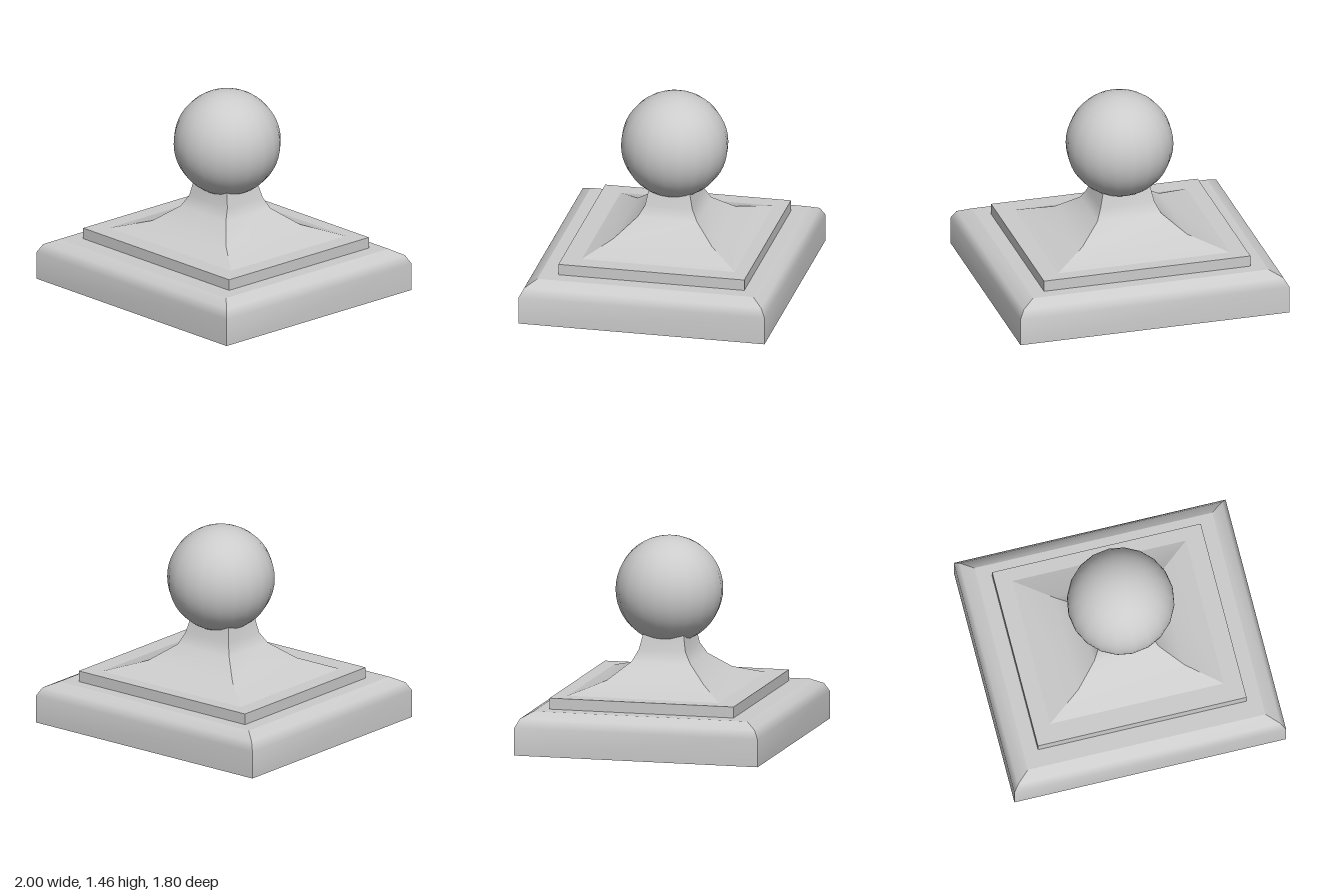
import * as THREE from 'three';

// Rectangular loft. Each section is [y, xMin, xMax, zMin, zMax]; sides are smooth
// along their height and sharp at the four corners, with flat caps at both ends.
function rectLoft(sections) {
  const positions = [], index = [];
  const corners = ([y, x0, x1, z0, z1]) => [[x0, y, z1], [x1, y, z1], [x1, y, z0], [x0, y, z0]];
  const rings = sections.map(corners);
  for (let side = 0; side < 4; side++) {
    const start = positions.length / 3;
    for (const ring of rings) positions.push(...ring[side], ...ring[(side + 1) % 4]);
    for (let i = 0; i < rings.length - 1; i++) {
      const a = start + i * 2;
      index.push(a, a + 1, a + 3, a, a + 3, a + 2);
    }
  }
  for (const ring of [rings[rings.length - 1], [...rings[0]].reverse()]) {
    const c = positions.length / 3;
    positions.push(...ring.flat());
    index.push(c, c + 1, c + 2, c, c + 2, c + 3);
  }
  const geometry = new THREE.BufferGeometry();
  geometry.setAttribute('position', new THREE.Float32BufferAttribute(positions, 3));
  geometry.setIndex(index);
  geometry.computeVertexNormals();
  return geometry;
}

export function createModel() {
  const group = new THREE.Group();
  const material = new THREE.MeshStandardMaterial({ color: 0xcccccc });
  const add = (name, geometry, x = 0, y = 0, z = 0) => {
    const mesh = new THREE.Mesh(geometry, material);
    mesh.name = name;
    mesh.position.set(x, y, z);
    group.add(mesh);
  };

  // Base slab with rounded upper edge
  add('base', rectLoft([
    [0, -1, 1, -0.9, 0.9],
    [0.2, -1, 1, -0.9, 0.9],
    [0.262, -0.965, 0.965, -0.867, 0.867],
    [0.305, -0.875, 0.875, -0.79, 0.79],
  ]));

  // Thin raised plinth
  add('plinth', new THREE.BoxGeometry(1.535, 0.08, 1.36), 0, 0.345, -0.02);

  // Flared square neck
  add('neck', rectLoft([
    [0.38, -0.66, 0.65, -0.615, 0.53],
    [0.462, -0.39, 0.39, -0.38, 0.34],
    [0.58, -0.24, 0.235, -0.235, 0.2],
    [0.66, -0.2, 0.2, -0.193, 0.152],
    [0.8, -0.17, 0.165, -0.16, 0.128],
  ]));

  // Ball finial
  add('ball', new THREE.SphereGeometry(0.385, 20, 24), 0.01, 1.075, -0.022);

  return group;
}
